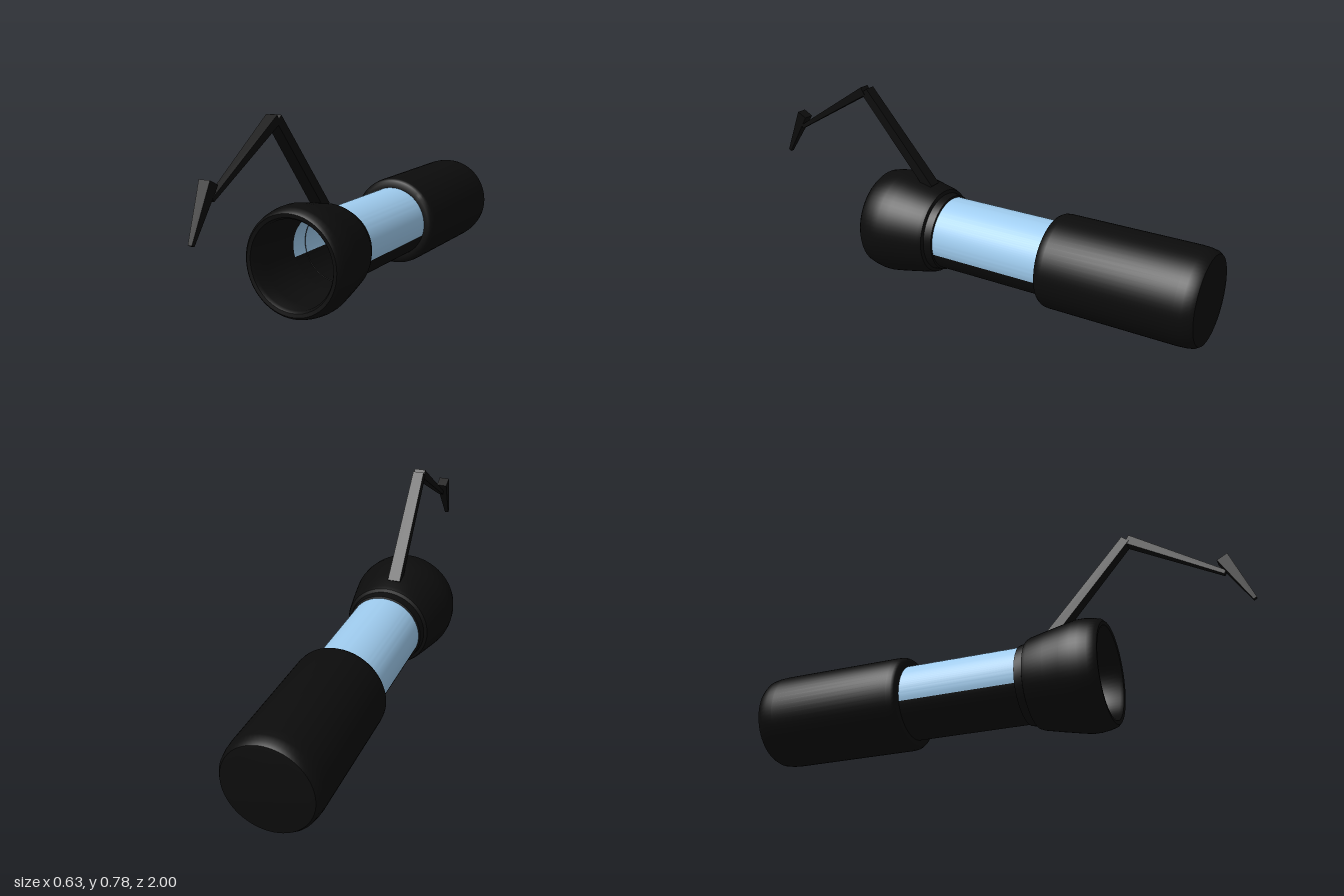
import * as THREE from 'three';
import { toCreasedNormals } from 'three/addons/utils/BufferGeometryUtils.js';

const black = new THREE.MeshStandardMaterial({ color: 0x0c0c0c, side: THREE.DoubleSide });
const blue = new THREE.MeshStandardMaterial({ color: 0xa0cdf0, side: THREE.DoubleSide });

// Surface of revolution about z; profile points are [radius, z]. Angle 0 points down.
function turned(name, profile, material, start = 0, sweep = Math.PI * 2) {
  const pts = profile.map(([r, z]) => new THREE.Vector2(r, z));
  const geo = new THREE.LatheGeometry(pts, 64, start, sweep).rotateX(Math.PI / 2);
  const mesh = new THREE.Mesh(toCreasedNormals(geo, 0.6), material);
  mesh.name = name;
  return mesh;
}

// Tapered square bar from a to b; sizes are [width, depth] at each end
function bar(name, a, b, sizeA, sizeB, side) {
  const A = new THREE.Vector3(...a), B = new THREE.Vector3(...b);
  const dir = B.clone().sub(A).normalize();
  const depth = new THREE.Vector3().crossVectors(side, dir).normalize();
  const wide = new THREE.Vector3().crossVectors(dir, depth);
  const geo = new THREE.BoxGeometry(1, 1, 1);
  const pos = geo.attributes.position, v = new THREE.Vector3();
  for (let i = 0; i < pos.count; i++) {
    const x = pos.getX(i), t = pos.getY(i) + 0.5, z = pos.getZ(i);
    v.lerpVectors(A, B, t)
      .addScaledVector(wide, x * THREE.MathUtils.lerp(sizeA[0], sizeB[0], t))
      .addScaledVector(depth, z * THREE.MathUtils.lerp(sizeA[1], sizeB[1], t));
    pos.setXYZ(i, v.x, v.y, v.z);
  }
  geo.computeVertexNormals();
  const mesh = new THREE.Mesh(geo, black);
  mesh.name = name;
  return mesh;
}

export function createModel() {
  const model = new THREE.Group();
  model.name = 'canister';
  const tilt = -THREE.MathUtils.degToRad(10);

  // Body, turned about an axis that is yawed by ten degrees
  const body = new THREE.Group();
  body.name = 'body';
  body.position.set(-0.036, 0.22, 0);
  body.rotation.y = tilt;
  model.add(body);

  // Flared open head with a hollow rim
  body.add(turned('head', [
    [0.148, 0.125], [0.157, 0.128], [0.162, 0.16], [0.175, 0.165], [0.181, 0.18],
    [0.196, 0.25], [0.21, 0.32], [0.217, 0.36], [0.217, 0.39], [0.212, 0.425], [0.205, 0.45],
    [0.195, 0.46], [0.18, 0.458], [0.172, 0.445], [0.168, 0.38], [0.158, 0.3], [0.15, 0.21],
  ], black));

  // Tube: blue window above, black trough below
  const edge = Math.acos(0.3);
  const wall = [[0.15, -0.75], [0.15, 0.21]];
  body.add(turned('window', wall, blue, edge, 2 * (Math.PI - edge)));
  body.add(turned('trough', wall, black, -edge, 2 * edge));
  body.add(turned('bulkhead', [[0, -0.75], [0.15, -0.75]], black));

  // Rear sleeve with rounded ends and a closed back
  body.add(turned('sleeve', [
    [0, -0.985], [0.15, -0.985], [0.172, -0.982], [0.182, -0.967], [0.187, -0.94], [0.189, -0.91],
    [0.189, -0.39], [0.187, -0.37], [0.18, -0.358], [0.17, -0.353], [0.15, -0.353],
  ], black));

  // Folding arm on top of the head
  const side = new THREE.Vector3(Math.cos(tilt), 0, -Math.sin(tilt));
  const arm = new THREE.Group();
  arm.name = 'arm';
  arm.add(bar('lowerLink', [-0.083, 0.4, 0.225], [-0.132, 0.768, 0.54], [0.052, 0.04], [0.046, 0.036], side));
  arm.add(bar('upperLink', [-0.131, 0.767, 0.545], [-0.19, 0.55, 0.9], [0.046, 0.036], [0.022, 0.016], side));
  arm.add(bar('tip', [-0.198, 0.605, 0.895], [-0.213, 0.42, 0.992], [0.044, 0.046], [0.016, 0.014], side));
  model.add(arm);
  return model;
}
